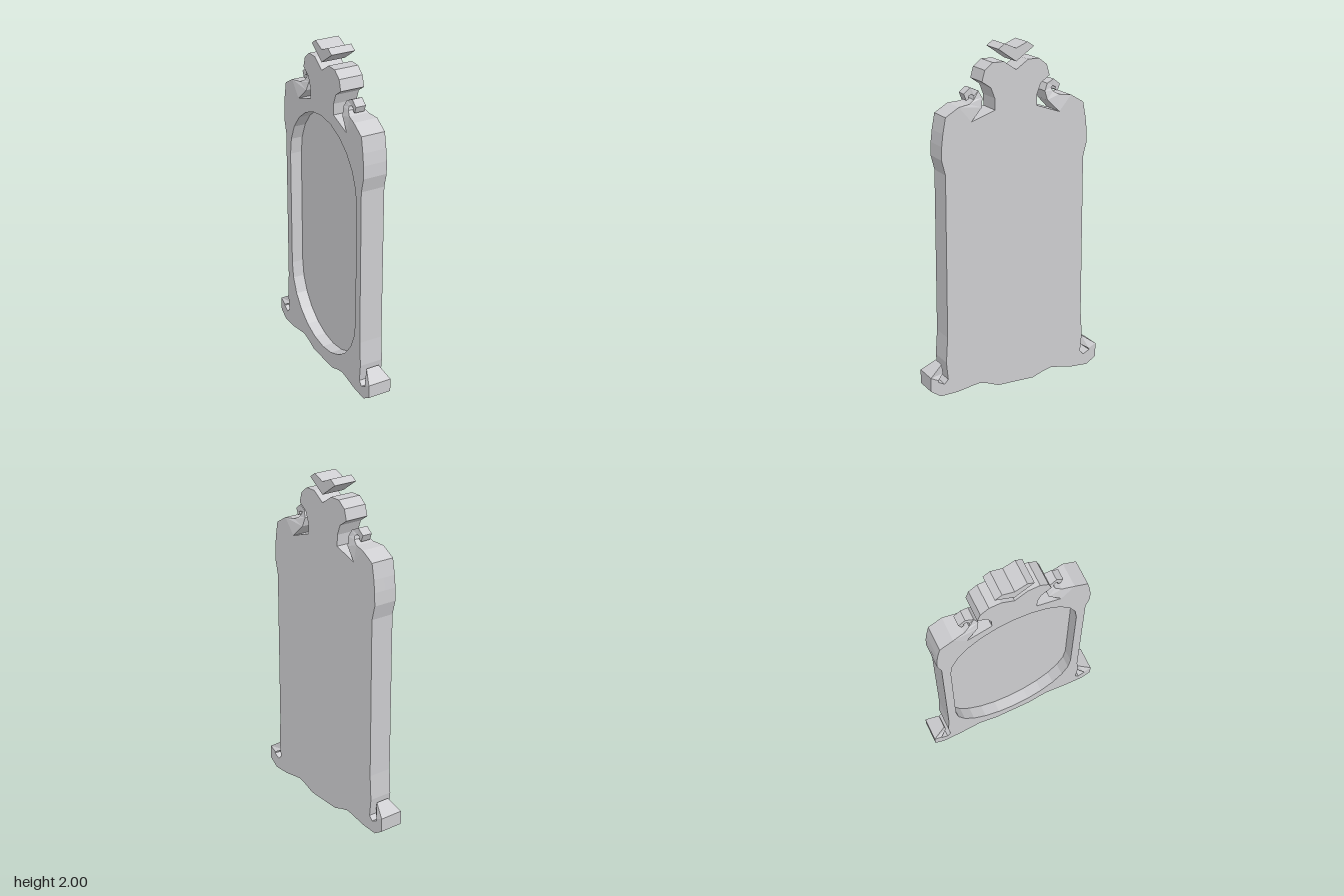
import * as THREE from 'three';

const HALF = 0.071; // half thickness of the slab

// Closed outline from its right half, mirrored
function mirroredShape(half) {
  const left = half.filter(([u]) => u !== 0).reverse().map(([u, y]) => [-u, y]);
  return new THREE.Shape([...half, ...left].map(([u, y]) => new THREE.Vector2(u, y)));
}

// Extrude a (z, y) shape along x, from xMax down to xMax - depth
function slab(shape, xMax, depth) {
  const g = new THREE.ExtrudeGeometry(shape, { depth, bevelEnabled: false });
  g.rotateY(-Math.PI / 2);
  g.translate(xMax, 0, 0);
  return g;
}

// Tapering scroll through sections [innerU, innerY, outerU, outerY, halfWidth]
function scroll(sections, side) {
  const rings = sections.map(([iu, iy, ou, oy, w]) => [
    [side * iu, iy, w], [side * ou, oy, w], [side * ou, oy, -w], [side * iu, iy, -w],
  ]);
  const [a, b] = rings;
  const area = (a[1][0] - a[0][0]) * (b[1][1] - a[0][1]) - (a[1][1] - a[0][1]) * (b[1][0] - a[0][0]);
  const pos = [];
  const quad = (...q) => {
    if (area < 0) q.reverse();
    for (const k of [0, 1, 2, 0, 2, 3]) pos.push(...q[k]);
  };
  for (let i = 0; i < rings.length - 1; i++) {
    const p = rings[i], n = rings[i + 1];
    for (let k = 0; k < 4; k++) quad(p[k], p[(k + 1) % 4], n[(k + 1) % 4], n[k]);
  }
  quad(...rings[0].slice().reverse());
  quad(...rings[rings.length - 1]);
  const g = new THREE.BufferGeometry();
  g.setAttribute('position', new THREE.Float32BufferAttribute(pos, 3));
  g.rotateY(-Math.PI / 2);
  g.computeVertexNormals();
  return g;
}

export function createModel() {
  const model = new THREE.Group();
  model.name = 'ornateFrame';
  const grey = new THREE.MeshStandardMaterial({ color: 0xcdcdd0 });
  grey.name = 'paleGrey';
  const add = (geometry, name) => {
    const mesh = new THREE.Mesh(geometry, grey);
    mesh.name = name;
    model.add(mesh);
  };

  // Frame outline, bottom to top
  const outline = [
    [0.115, 0], [0.18, 0.025], [0.235, 0.04], [0.28, 0.033], [0.375, 0.015],
    [0.437, 0.105], [0.447, 0.21], [0.437, 0.36], [0.435, 1.31], [0.457, 1.395],
    [0.455, 1.47], [0.447, 1.54], [0.43, 1.63], [0.35, 1.678], [0.275, 1.59],
    [0.13, 1.64], [0.132, 1.705], [0.155, 1.765], [0.21, 1.803], [0.192, 1.865],
    [0.143, 1.903], [0.075, 1.903], [0, 1.852],
  ];
  add(slab(mirroredShape(outline), HALF, HALF), 'backPanel');

  // Front rim with a long round-ended opening
  const rim = mirroredShape(outline);
  const opening = new THREE.Path();
  const r = 0.385, steps = 12, pts = [];
  for (const [cy, start] of [[1.2, 0], [0.47, Math.PI]]) {
    for (let i = 0; i <= steps; i++) {
      const t = start + (Math.PI * i) / steps;
      pts.push(new THREE.Vector2(r * Math.cos(t), cy + r * Math.sin(t)));
    }
  }
  opening.setFromPoints([...pts, pts[0].clone()]);
  rim.holes.push(opening);
  add(slab(rim, 0, HALF), 'frontRim');

  // Floating crest
  const crest = mirroredShape([[0, 1.897], [0.11, 1.973], [0.07, 2], [0, 1.97]]);
  add(slab(crest, HALF, HALF * 2), 'crest');

  // Curled shoulders and feet on both sides
  const shoulder = [
    [0.35, 1.678, 0.275, 1.59, HALF],
    [0.28, 1.685, 0.205, 1.66, 0.058],
    [0.247, 1.705, 0.195, 1.71, 0.046],
    [0.24, 1.725, 0.215, 1.75, 0.037],
    [0.255, 1.732, 0.26, 1.77, 0.03],
    [0.273, 1.722, 0.3, 1.738, 0.03],
    [0.268, 1.71, 0.285, 1.7, 0.03],
  ];
  const foot = [
    [0.437, 0.105, 0.375, 0.015, HALF],
    [0.46, 0.08, 0.485, 0.01, HALF],
    [0.5, 0.1, 0.545, 0.05, HALF],
    [0.498, 0.11, 0.545, 0.133, HALF],
    [0.455, 0.135, 0.463, 0.19, 0.04],
  ];
  for (const [side, label] of [[1, 'front'], [-1, 'back']]) {
    add(scroll(shoulder, side), label + 'ShoulderScroll');
    add(scroll(foot, side), label + 'FootScroll');
  }
  return model;
}
